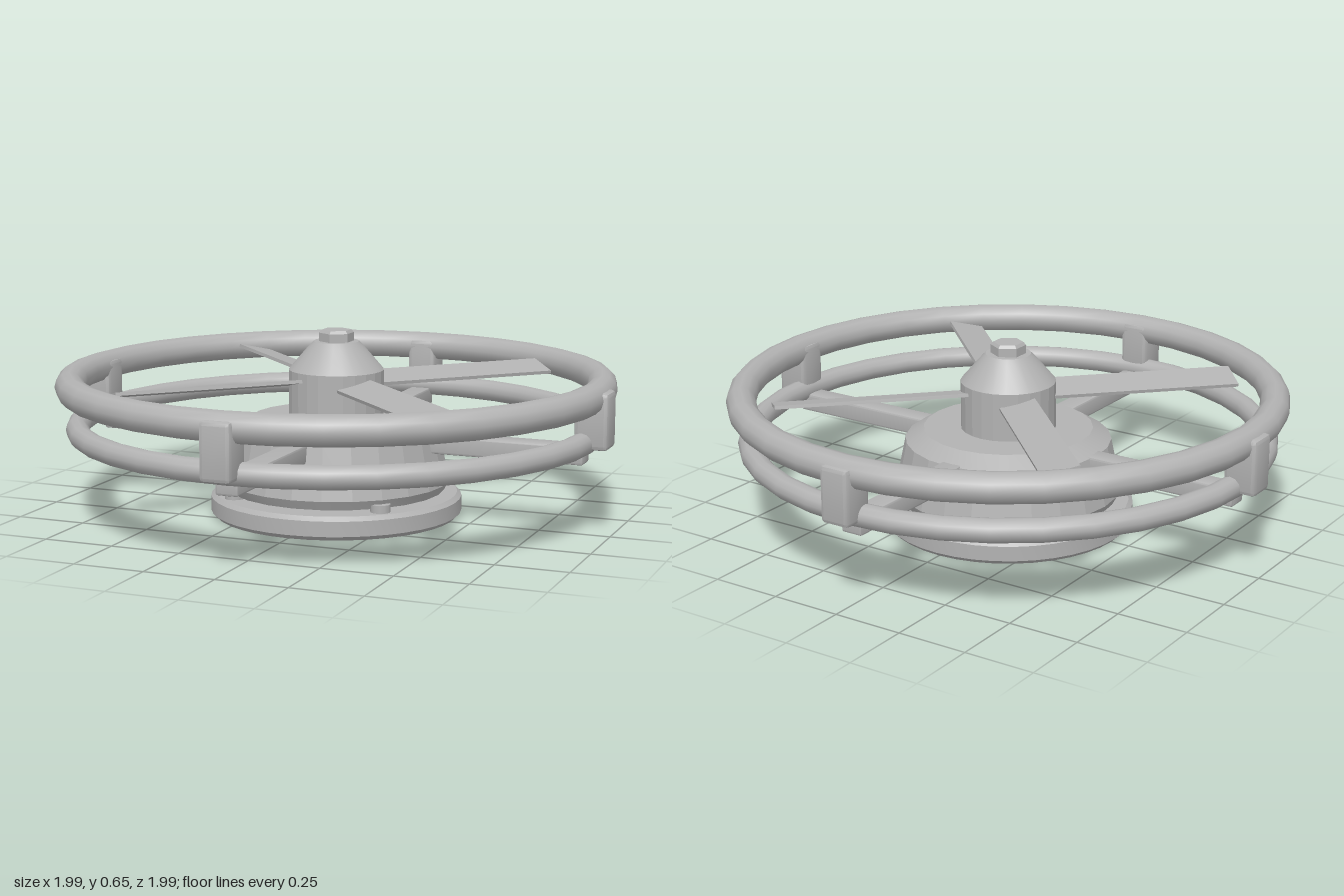
import * as THREE from 'three';
import { toCreasedNormals } from 'three/addons/utils/BufferGeometryUtils.js';
import { RoundedBoxGeometry } from 'three/addons/geometries/RoundedBoxGeometry.js';

const grey = new THREE.MeshStandardMaterial({ color: 0xb2b2b2 });
grey.name = 'plain grey';

export function createModel() {
  const model = new THREE.Group();
  model.name = 'ringGuardRotor';

  const add = (name, geometry, parent = model) => {
    const mesh = new THREE.Mesh(geometry, grey);
    mesh.name = name;
    parent.add(mesh);
    return mesh;
  };

  // Turned part from [radius, height] pairs, bottom to top, with hard facet edges
  const turned = (name, profile, sides) => {
    const points = profile.map(([r, y]) => new THREE.Vector2(r, y));
    return add(name, toCreasedNormals(new THREE.LatheGeometry(points, sides), 0.25));
  };

  const ring = (name, radius, tube, y) => {
    const mesh = add(name, new THREE.TorusGeometry(radius, tube, 12, 36));
    mesh.rotation.x = Math.PI / 2;
    mesh.position.y = y;
  };

  // Base disc, tapered body and motor with its conical cap
  turned('baseDisc', [[0, 0], [0.43, 0], [0.445, 0.015], [0.445, 0.068], [0.43, 0.082], [0, 0.082]], 40);
  turned('bodyCore', [[0, 0.07], [0.34, 0.07], [0.34, 0.12], [0, 0.12]], 24);
  turned('body', [[0, 0.093], [0.385, 0.093], [0.402, 0.125], [0.365, 0.305], [0.3, 0.345], [0, 0.345]], 24);
  turned('motor', [[0.168, 0.33], [0.168, 0.515], [0.095, 0.6], [0.08, 0.615], [0, 0.615]], 24);

  // Hexagonal nut on top
  turned('topNut', [[0, 0.6], [0.062, 0.6], [0.062, 0.645], [0.053, 0.655], [0, 0.655]], 6);

  // Upper and lower guard rings
  ring('upperRing', 0.933, 0.052, 0.472);
  ring('lowerRing', 0.91, 0.04, 0.32);

  for (let i = 0; i < 4; i++) {
    // Support arm and ring bracket on each axis
    const support = new THREE.Group();
    support.name = 'support' + (i + 1);
    support.rotation.y = i * Math.PI / 2;
    model.add(support);
    const arm = add('arm', toCreasedNormals(new RoundedBoxGeometry(0.61, 0.066, 0.08, 1, 0.008), 0.4), support);
    arm.position.set(0.605, 0.278, 0);
    const bracket = add('bracket', toCreasedNormals(new RoundedBoxGeometry(0.118, 0.196, 0.11, 1, 0.015), 0.4), support);
    bracket.position.set(0.938, 0.4, 0);

    // Pitched blade and small foot on each diagonal
    const diagonal = new THREE.Group();
    diagonal.name = 'diagonal' + (i + 1);
    diagonal.rotation.y = Math.PI / 4 + i * Math.PI / 2;
    model.add(diagonal);
    const blade = add('blade', new THREE.BoxGeometry(0.735, 0.012, 0.128), diagonal);
    blade.position.set(0.4575, 0.475, 0);
    blade.rotation.x = 0.22;
    const foot = add('foot', new THREE.CylinderGeometry(0.035, 0.035, 0.035, 12), diagonal);
    foot.position.set(0.385, 0.092, 0);
  }
  return model;
}
